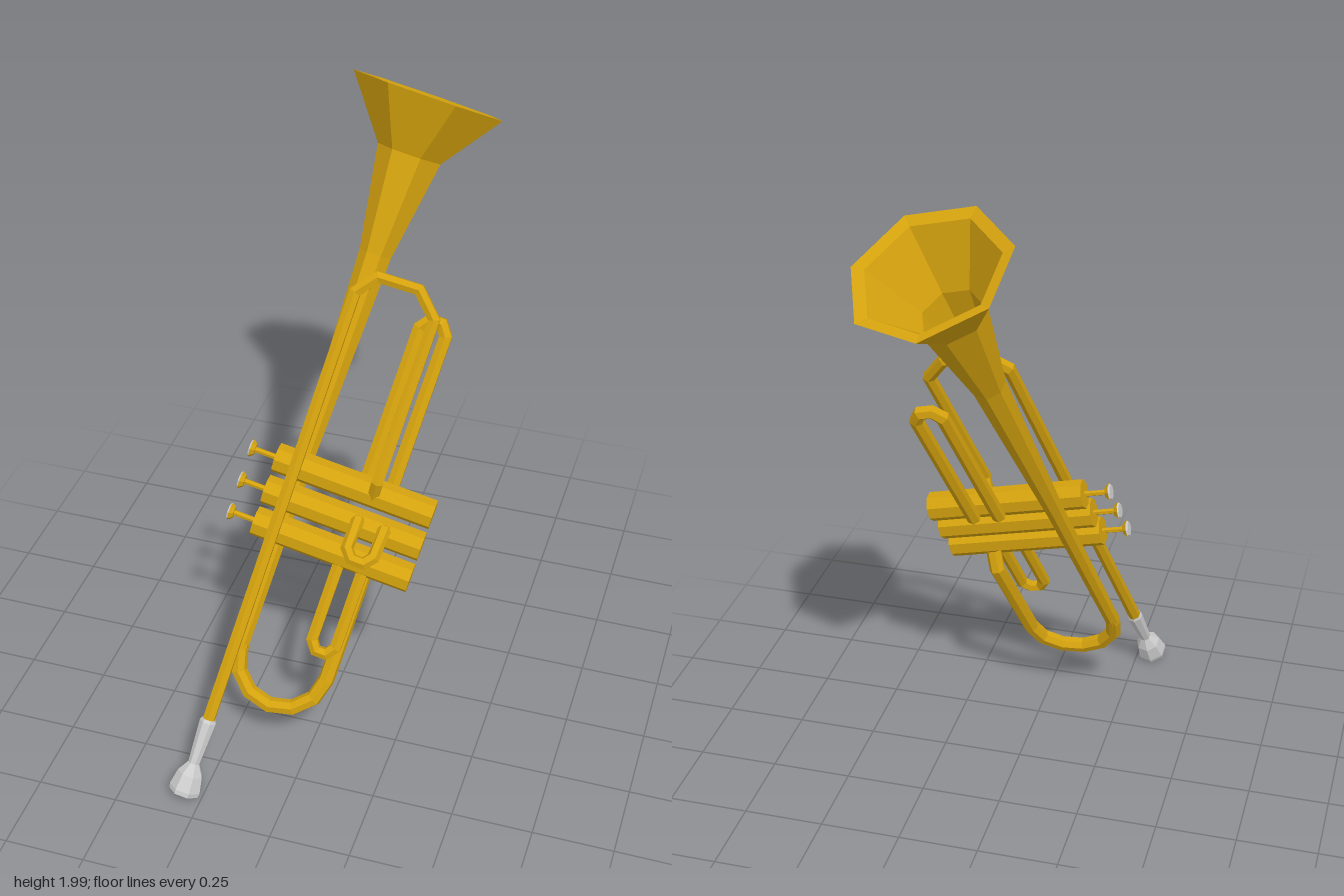
import * as THREE from 'three';

const gold = new THREE.MeshStandardMaterial({ color: 0xd4a20e, flatShading: true, side: THREE.DoubleSide });
const grey = new THREE.MeshStandardMaterial({ color: 0xcccccc, flatShading: true, side: THREE.DoubleSide });

// Polyline path whose samples land exactly on its corners
class Polyline extends THREE.Curve {
  constructor(points) {
    super();
    this.points = points.map((p) => new THREE.Vector3(...p));
  }
  getPoint(t, target = new THREE.Vector3()) {
    const n = this.points.length - 1;
    const i = Math.min(Math.floor(t * n + 1e-6), n - 1);
    return target.lerpVectors(this.points[i], this.points[i + 1], t * n - i);
  }
  getPointAt(u, target) {
    return this.getPoint(u, target);
  }
  getTangentAt(u, target = new THREE.Vector3()) {
    const p = this.points, n = p.length - 1, i = Math.round(u * n);
    target.set(0, 0, 0);
    if (i > 0) target.add(p[i].clone().sub(p[i - 1]).normalize());
    if (i < n) target.add(p[i + 1].clone().sub(p[i]).normalize());
    return target.normalize();
  }
}

function add(parent, name, geometry, material = gold) {
  const mesh = new THREE.Mesh(geometry, material);
  mesh.name = name;
  parent.add(mesh);
  return mesh;
}

function pipe(parent, name, points, radius, sides = 6) {
  return add(parent, name, new THREE.TubeGeometry(new Polyline(points), points.length - 1, radius, sides));
}

// Profile of [radius, height] pairs turned about the local y axis
function turned(parent, name, profile, sides, material) {
  const points = profile.map(([r, y]) => new THREE.Vector2(r, y));
  return add(parent, name, new THREE.LatheGeometry(points, sides, Math.PI), material);
}

// Narrow U-shaped slide: two legs from yOpen, with a clipped bend at yBend
function slide(parent, name, x1, x2, yOpen, yBend, z, radius) {
  const s = Math.sign(yBend - yOpen), c = (x2 - x1) * 0.28;
  pipe(parent, name, [
    [x1, yOpen, z], [x1, yBend - s * c * 1.4, z], [x1 + c, yBend, z],
    [x2 - c, yBend, z], [x2, yBend - s * c * 1.4, z], [x2, yOpen, z],
  ], radius);
}

export function createModel() {
  const root = new THREE.Group();
  root.name = 'trumpet';

  // Instrument frame: x along the valves, y along the bell, z from bell to leadpipe
  const body = new THREE.Group();
  body.name = 'body';
  const along = new THREE.Vector3(0.19, 0.862, -0.47).normalize();
  const valveAxis = new THREE.Vector3(0.975, -0.222, -0.012);
  valveAxis.addScaledVector(along, -valveAxis.dot(along)).normalize();
  const across = new THREE.Vector3().crossVectors(valveAxis, along);
  body.quaternion.setFromRotationMatrix(new THREE.Matrix4().makeBasis(valveAxis, along, across));
  root.add(body);

  const bellX = -0.305, bellZ = 0.43, leadX = -0.31, leadZ = 0.573;

  // Seven-sided bell with a hollow mouth and a flat lip
  turned(body, 'bell', [
    [0.024, 0.1], [0.028, 0.75], [0.05, 1.39], [0.1, 1.7], [0.235, 1.877],
    [0.198, 1.868], [0.09, 1.7], [0.042, 1.4], [0, 1.39],
  ], 7, gold).position.set(bellX, 0, bellZ);

  // Main bow from the bell round to the lowest valve
  const bow = [[bellX, 0.12, bellZ]];
  const bowR = 0.142;
  for (let i = 0; i <= 6; i++) {
    const a = Math.PI * i / 6;
    bow.push([bellX + bowR - bowR * Math.cos(a), 0.1 - bowR * Math.sin(a), bellZ]);
  }
  bow.push([bellX + 2 * bowR, 0.46, bellZ], [bellX + 2 * bowR, 0.51, 0.47]);
  pipe(body, 'mainBow', bow, 0.025, 7);

  // Leadpipe, upper bend and return leg to the top valve
  pipe(body, 'leadpipeAndTuningSlide', [
    [leadX, -0.12, leadZ], [leadX, 1.28, leadZ], [-0.26, 1.343, leadZ],
    [-0.135, 1.348, leadZ], [-0.065, 1.28, leadZ], [-0.065, 0.77, leadZ], [-0.065, 0.715, 0.53],
  ], 0.02);

  // Mouthpiece with a hollow cup
  turned(body, 'mouthpiece', [
    [0.022, -0.1], [0.026, -0.11], [0.018, -0.25], [0.04, -0.285], [0.05, -0.335],
    [0.047, -0.35], [0.036, -0.347], [0.024, -0.3], [0, -0.29],
  ], 7, grey).position.set(leadX, 0, leadZ);

  // Three valves with stems and buttons
  for (let i = 0; i < 3; i++) {
    const valve = new THREE.Group();
    valve.name = `valve${i + 1}`;
    valve.position.set(-0.13, 0.722 - 0.103 * i, 0.508);
    valve.rotation.z = Math.PI / 2;
    body.add(valve);
    add(valve, 'casing', new THREE.CylinderGeometry(0.046, 0.046, 0.5, 8));
    add(valve, 'stem', new THREE.CylinderGeometry(0.009, 0.009, 0.08, 6)).position.y = 0.285;
    add(valve, 'button', new THREE.CylinderGeometry(0.028, 0.018, 0.013, 8)).position.y = 0.324;
    add(valve, 'buttonTop', new THREE.CylinderGeometry(0.023, 0.026, 0.005, 8), grey).position.y = 0.333;
  }

  // Valve slides
  slide(body, 'upperSlide', -0.107, -0.025, 0.71, 1.262, 0.457, 0.022);
  slide(body, 'lowerSlide', -0.097, -0.022, 0.52, 0.205, 0.52, 0.02);
  pipe(body, 'middleSlide', [
    [-0.083, 0.63, 0.53], [-0.083, 0.64, 0.565], [-0.083, 0.56, 0.605], [-0.06, 0.535, 0.615],
    [-0.022, 0.535, 0.615], [0, 0.56, 0.605], [0, 0.64, 0.565], [0, 0.63, 0.53],
  ], 0.02);

  return root;
}
